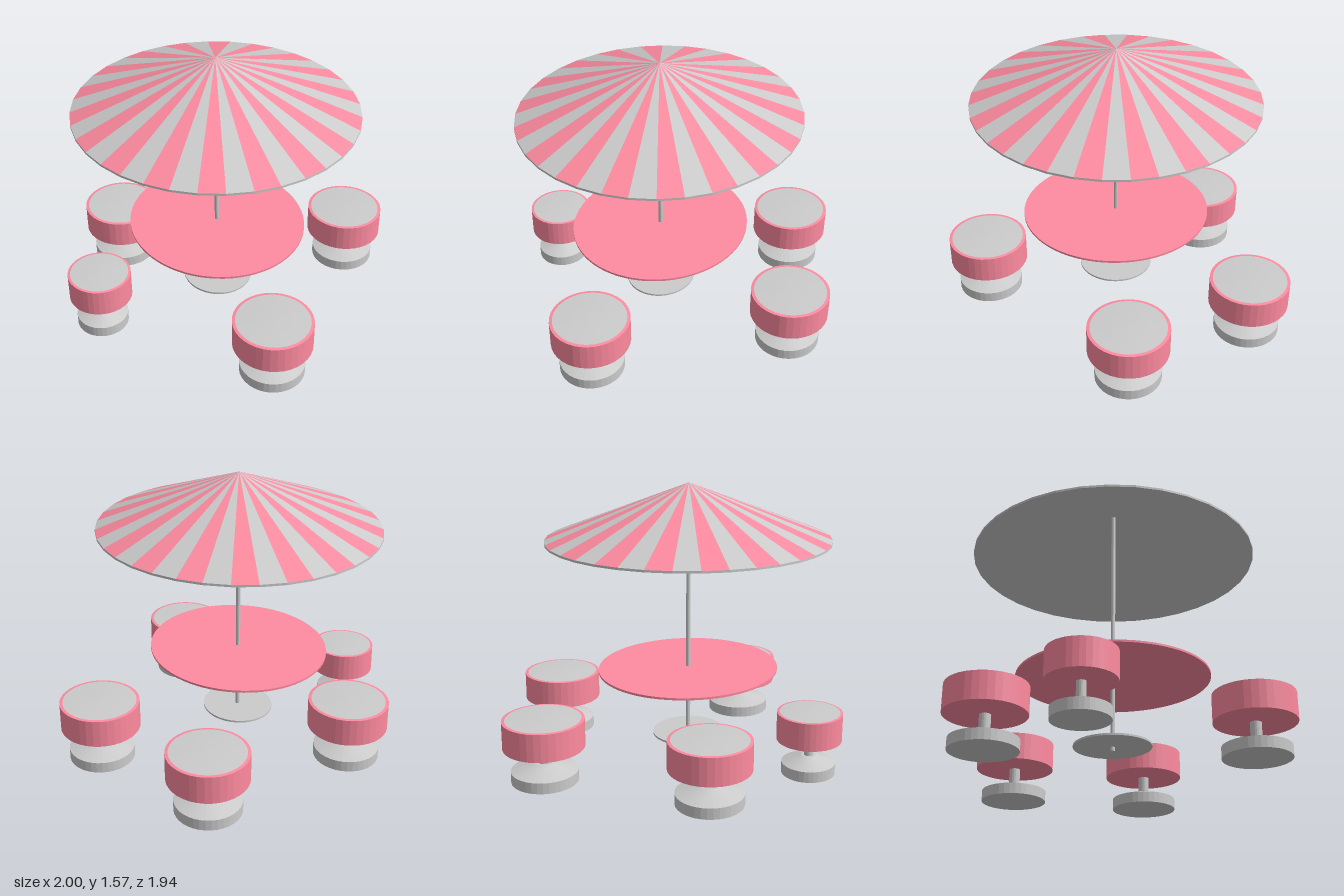
import * as THREE from 'three';
import { mergeGeometries } from 'three/addons/utils/BufferGeometryUtils.js';

const SIDES = 36;
const grey = new THREE.MeshStandardMaterial({ color: 0xcccccc, flatShading: true });
const pink = new THREE.MeshStandardMaterial({ color: 0xff8ba0, flatShading: true });

function part(name, geometry, material) {
  const mesh = new THREE.Mesh(geometry, material);
  mesh.name = name;
  return mesh;
}

// Lathe from [radius, height] pairs
function turned(points) {
  return new THREE.LatheGeometry(points.map(([r, y]) => new THREE.Vector2(r, y)), SIDES);
}

function disc(radius, bottom, top, stretch) {
  return new THREE.CylinderGeometry(radius, radius, top - bottom, SIDES * 2)
    .translate(0, (top + bottom) / 2, 0).scale(1, 1, stretch);
}

// Stool: weighted foot, stem, padded drum and slightly domed seat
function stool(name, x, z, size) {
  const group = new THREE.Group();
  group.name = name;
  group.add(
    part('stoolFoot', turned([[0, 0], [0.184, 0], [0.184, 0.062], [0.05, 0.103], [0, 0.103]]), grey),
    part('stoolStem', new THREE.CylinderGeometry(0.031, 0.031, 0.12, 18).translate(0, 0.15, 0), grey),
    part('stoolDrum', turned([[0, 0.197], [0.223, 0.197], [0.223, 0.354], [0.206, 0.356]]), pink),
    part('stoolSeat', turned([[0.206, 0.356], [0.1, 0.361], [0, 0.363]]), grey)
  );
  group.position.set(x, 0, z);
  group.scale.set(size, 1, size * 1.02);
  return group;
}

// Parasol: striped cone, hollow underside with a thin rim
function parasol() {
  const group = new THREE.Group();
  group.name = 'parasol';
  const radius = 0.79, rim = 1.262, apex = 1.57;
  const step = (Math.PI * 2) / SIDES;
  const stripes = [[], []];
  for (let i = 0; i < SIDES; i++) {
    const panel = new THREE.ConeGeometry(radius, apex - rim, 1, 1, true, Math.PI / 2 + i * step, step);
    stripes[i % 2].push(panel.translate(0, (apex + rim) / 2, 0));
  }
  group.add(
    part('pinkStripes', mergeGeometries(stripes[0]), pink),
    part('greyStripes', mergeGeometries(stripes[1]), grey),
    part('canopyUnderside', turned([[0, apex - 0.012], [radius, 1.25], [radius, rim]]), grey)
  );
  group.scale.z = 1.028;
  return group;
}

export function createModel() {
  const model = new THREE.Group();
  model.name = 'parasolTableSet';

  // Table, foot plate and canopy share one pole
  const table = new THREE.Group();
  table.name = 'table';
  table.add(
    part('tableTop', disc(0.502, 0.505, 0.517, 1.082), pink),
    part('footPlate', disc(0.2, 0.113, 0.124, 1.075), grey),
    part('pole', new THREE.CylinderGeometry(0.0125, 0.0125, 1.47, 18).translate(0, 0.825, 0), grey),
    parasol()
  );
  table.position.set(-0.085, 0, -0.027);
  model.add(table);

  // Five stools around the table
  const stools = [
    ['frontStool', -0.085, 0.743, 1],
    ['leftStool', 0.774, -0.017, 1],
    ['backLeftStool', 0.444, -0.741, 1],
    ['backRightStool', -0.484, -0.614, 1],
    ['rightStool', -0.82, -0.022, 0.805],
  ];
  for (const s of stools) model.add(stool(...s));
  return model;
}
